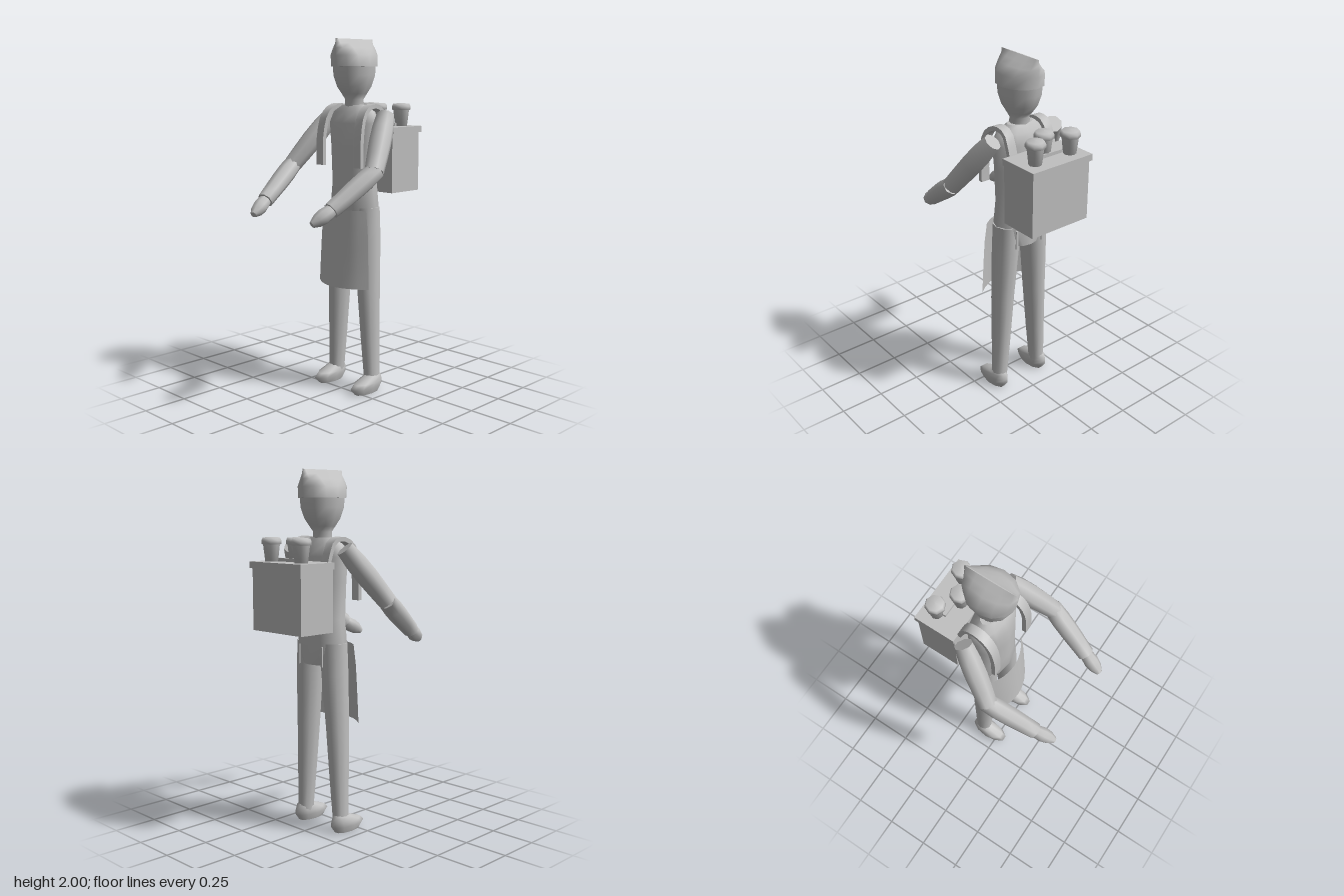
import * as THREE from 'three';

const GREY = 0xc0c0c0;

// Closed body through elliptical rings: [y, rx, rz, cx, cz], listed bottom to top
function loft(rings, sides = 10) {
  const pos = [], idx = [];
  const ring = ([y, rx, rz, cx, cz]) => {
    const start = pos.length / 3;
    for (let j = 0; j < sides; j++) {
      const a = (j / sides) * Math.PI * 2;
      pos.push(cx + rx * Math.cos(a), y, cz + rz * Math.sin(a));
    }
    return start;
  };
  const starts = rings.map(ring);
  for (let i = 0; i < starts.length - 1; i++) {
    for (let j = 0; j < sides; j++) {
      const k = (j + 1) % sides;
      const a = starts[i] + j, b = starts[i] + k, c = starts[i + 1] + j, d = starts[i + 1] + k;
      idx.push(a, c, b, b, c, d);
    }
  }
  // end caps with their own vertices
  [rings[0], rings[rings.length - 1]].forEach((r, top) => {
    const s = ring(r), centre = pos.length / 3;
    pos.push(r[3], r[0], r[4]);
    for (let j = 0; j < sides; j++) {
      const k = (j + 1) % sides;
      if (top) idx.push(centre, s + k, s + j);
      else idx.push(centre, s + j, s + k);
    }
  });
  return finish(pos, idx);
}

function finish(pos, idx) {
  const g = new THREE.BufferGeometry();
  g.setAttribute('position', new THREE.Float32BufferAttribute(pos, 3));
  g.setIndex(idx);
  g.computeVertexNormals();
  return g;
}

// Rounded limb from a to b, radii given evenly along its length
function limb(a, b, radii, sides = 8) {
  const from = new THREE.Vector3(...a), dir = new THREE.Vector3(...b).sub(from);
  const len = dir.length();
  const g = loft(radii.map((r, i) => [len * i / (radii.length - 1), r, r, 0, 0]), sides);
  g.applyQuaternion(new THREE.Quaternion().setFromUnitVectors(new THREE.Vector3(0, 1, 0), dir.normalize()));
  return g.translate(...a);
}

// Flat band following [x, y, z] points; its width runs along x
function band(points, width, thick) {
  const curve = new THREE.CatmullRomCurve3(points.map(p => new THREE.Vector3(...p)));
  const n = 12, g = new THREE.BoxGeometry(width, 1, thick, 1, n, 1);
  const p = g.attributes.position;
  for (let i = 0; i < p.count; i++) {
    const t = THREE.MathUtils.clamp(p.getY(i) + 0.5, 0, 1);
    const c = curve.getPoint(t), d = curve.getTangent(t);
    const s = Math.hypot(d.y, d.z), off = p.getZ(i);
    p.setXYZ(i, c.x + p.getX(i), c.y - off * d.z / s, c.z + off * d.y / s);
  }
  g.computeVertexNormals();
  return g;
}

export function createModel() {
  const model = new THREE.Group();
  model.name = 'vendor';
  const grey = new THREE.MeshStandardMaterial({ color: GREY });
  grey.name = 'grey';
  const cloth = new THREE.MeshStandardMaterial({ color: GREY, side: THREE.DoubleSide });
  cloth.name = 'grey cloth';

  const add = (name, geometry, material = grey, parent = model) => {
    const m = new THREE.Mesh(geometry, material);
    m.name = name;
    parent.add(m);
    return m;
  };
  const box = (name, w, h, d, x, y, z) =>
    add(name, new THREE.BoxGeometry(w, h, d).translate(x, y, z));

  // Head and cap
  add('head', loft([
    [1.60, 0.058, 0.055, 0, -0.105], [1.67, 0.055, 0.05, 0, -0.105],
    [1.70, 0.07, 0.075, 0, -0.105], [1.74, 0.092, 0.105, 0, -0.105],
    [1.80, 0.11, 0.127, 0, -0.105], [1.88, 0.114, 0.134, 0, -0.105],
  ], 12));
  add('cap', loft([
    [1.85, 0.122, 0.14, 0, -0.105], [1.91, 0.118, 0.147, 0, -0.104],
    [1.95, 0.075, 0.149, 0, -0.104], [1.975, 0.038, 0.15, 0, -0.104],
    [2.00, 0.003, 0.146, 0, -0.104],
  ], 12));

  // Torso
  add('torso', loft([
    [0.95, 0.09, 0.065, 0, -0.145], [1.00, 0.135, 0.09, 0, -0.122],
    [1.06, 0.162, 0.105, 0, -0.108], [1.20, 0.142, 0.108, 0, -0.108],
    [1.40, 0.15, 0.106, 0, -0.105], [1.54, 0.168, 0.1, 0, -0.105],
    [1.60, 0.145, 0.075, 0, -0.105], [1.64, 0.08, 0.048, 0, -0.107],
  ], 12));

  // Limbs and shoulder straps, mirrored by side
  for (const s of [1, -1]) {
    const side = s > 0 ? 'left' : 'right';
    const shoulder = [s * 0.205, 1.585, -0.14], elbow = [s * 0.32, 1.295, 0.075];
    const wrist = [s * 0.263, 1.115, 0.335], tip = [s * 0.233, 1.05, 0.445];
    add(side + 'UpperArm', limb(shoulder, elbow, [0.05, 0.06, 0.062, 0.058, 0.053]));
    add(side + 'Forearm', limb([s * 0.323, 1.305, 0.06], wrist, [0.05, 0.055, 0.054, 0.05, 0.046]));
    add(side + 'Hand', limb([s * 0.268, 1.125, 0.315], tip, [0.03, 0.038, 0.042, 0.036, 0.018]));

    add(side + 'Leg', loft([
      [0.06, 0.042, 0.047, s * 0.143, -0.107], [0.30, 0.051, 0.058, s * 0.13, -0.106],
      [0.60, 0.061, 0.071, s * 0.116, -0.105], [0.90, 0.072, 0.08, s * 0.1, -0.11],
      [1.07, 0.073, 0.078, s * 0.092, -0.11],
    ]));
    add(side + 'Shoe', loft([
      [0.005, 0.042, 0.09, s * 0.147, -0.06], [0.04, 0.054, 0.118, s * 0.147, -0.057],
      [0.065, 0.052, 0.105, s * 0.147, -0.07], [0.09, 0.044, 0.065, s * 0.147, -0.102],
      [0.105, 0.035, 0.045, s * 0.145, -0.11],
    ]));
    add(side + 'Strap', band([
      [s * 0.147, 1.30, 0.012], [s * 0.146, 1.48, 0.008], [s * 0.14, 1.59, -0.025],
      [s * 0.132, 1.632, -0.09], [s * 0.13, 1.618, -0.16], [s * 0.13, 1.50, -0.208],
    ], 0.052, 0.024));
    // Loose apron tie at the back
    const tie = box(side + 'ApronTie', 0.012, 0.11, 0.008, s * 0.09, 1.0, -0.2);
    tie.rotation.z = 0;
  }

  // Apron: a curved sheet flaring toward the hem
  const apron = new THREE.PlaneGeometry(2, 1, 8, 4);
  const p = apron.attributes.position;
  for (let i = 0; i < p.count; i++) {
    const t = p.getX(i), v = 0.5 - p.getY(i);
    const w = THREE.MathUtils.lerp(0.165, 0.195, Math.sqrt(v));
    p.setXYZ(i, w * t, 1.06 - 0.44 * v, 0.03 + 0.033 * v - (0.06 + 0.023 * v) * t * t);
  }
  apron.computeVertexNormals();
  add('apron', apron, cloth);

  // Drinks box carried on the back
  box('backBox', 0.38, 0.345, 0.228, 0, 1.3175, -0.328);
  box('boxLid', 0.4, 0.036, 0.243, 0, 1.497, -0.332);
  box('cupRail', 0.22, 0.018, 0.02, 0, 1.524, -0.33);

  // Cups with domed rims
  const profile = [
    [0, 1.512], [0.034, 1.512], [0.045, 1.605], [0.054, 1.608],
    [0.054, 1.625], [0.046, 1.642], [0, 1.645],
  ].map(([r, y]) => new THREE.Vector2(r, y));
  [[-0.117, -0.37], [0.117, -0.37], [0, -0.3]].forEach(([x, z], i) =>
    add('cup' + (i + 1), new THREE.LatheGeometry(profile, 8).translate(x, 0, z)));

  return model;
}
